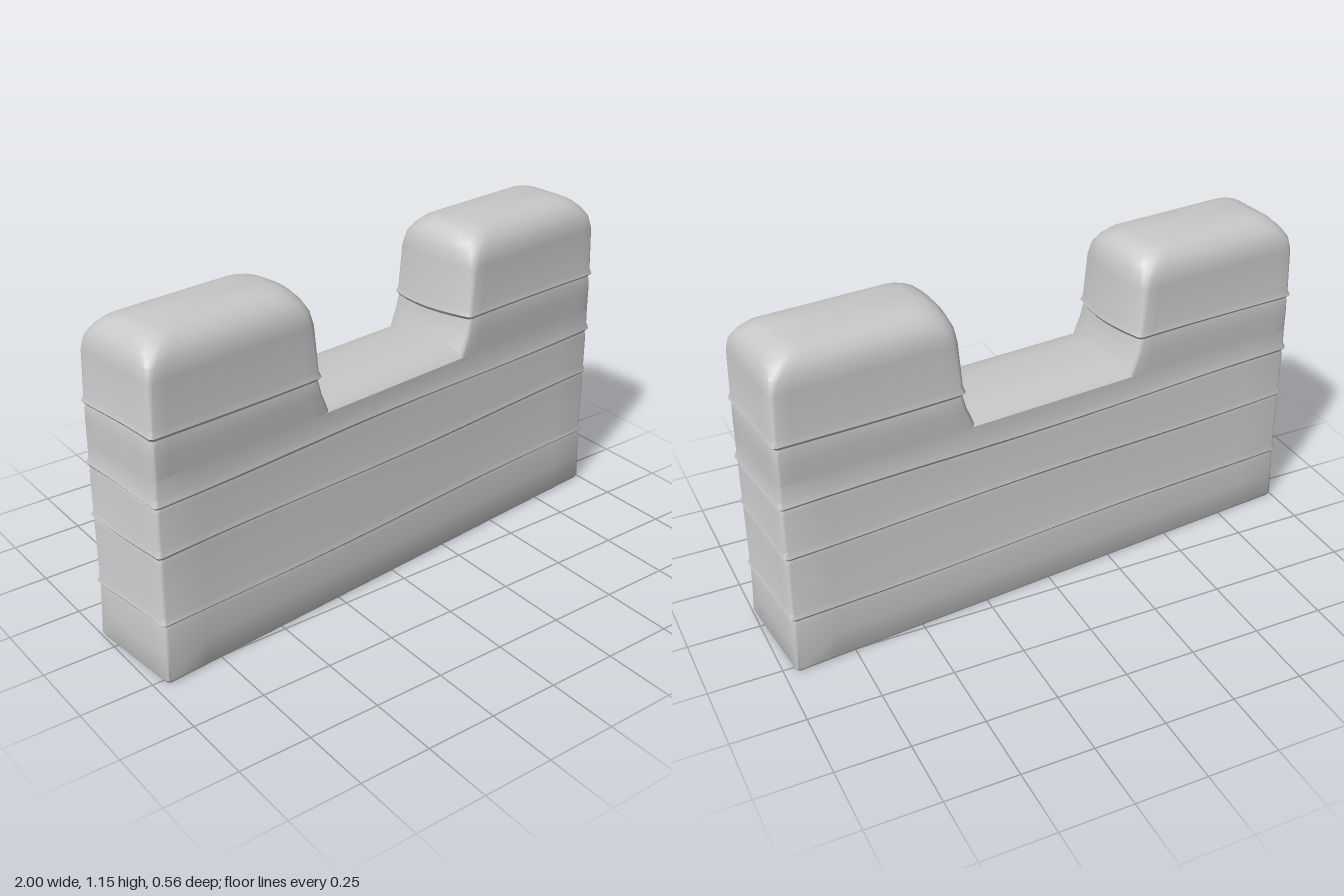
import * as THREE from 'three';
import { toCreasedNormals } from 'three/addons/utils/BufferGeometryUtils.js';

const HALF_LENGTH = 0.985;
const HALF_DEPTH = 0.187;

// Rounded rectangle in plan, running along the front, right end, back and left end.
function ring(x0, x1, d, r, bow) {
  const pts = [];
  const corners = [[x1 - r, d - r, 0], [x1 - r, r - d, 1], [x0 + r, r - d, 2], [x0 + r, d - r, 3]];
  corners.forEach(([cx, cz, quarter], k) => {
    for (let i = 0; i <= 3; i++) {
      const a = Math.PI / 2 * (1 - quarter - i / 3);
      pts.push([cx + r * Math.cos(a), cz + r * Math.sin(a)]);
    }
    const [nx, nz, nq] = corners[(k + 1) % 4];
    const a = Math.PI / 2 * (1 - nq);
    const end = [nx + r * Math.cos(a), nz + r * Math.sin(a)];
    const start = pts[pts.length - 1];
    const n = k % 2 ? 14 : 6; // long sides get more divisions
    for (let i = 1; i < n; i++) {
      pts.push([start[0] + (end[0] - start[0]) * i / n, start[1] + (end[1] - start[1]) * i / n]);
    }
  });
  return pts.map(([x, z]) => [x + bow * (z / d) ** 2 * (x1 - x) / (x1 - x0), z]);
}

// Stacks plan rings into a closed solid; level = { y, x0, x1, d, r, wave }
function loft(levels, bow, crown) {
  const pos = [], idx = [];
  let n = 0;
  for (const l of levels) {
    const pts = ring(l.x0, l.x1, l.d, l.r, bow);
    n = pts.length;
    for (const [x, z] of pts) {
      pos.push(x, l.y + (l.wave || 0) * Math.sin(x * 4 + z * 9 + l.y * 20), z);
    }
  }
  const last = (levels.length - 1) * n;
  const bottom = pos.length / 3, top = bottom + 1;
  const first = levels[0], end = levels[levels.length - 1];
  pos.push((first.x0 + first.x1) / 2, first.y, 0, (end.x0 + end.x1) / 2, end.y + crown, 0);
  for (let i = 0; i < n; i++) {
    const j = (i + 1) % n;
    for (let k = 0; k < last; k += n) {
      idx.push(k + i, k + j, k + n + j, k + i, k + n + j, k + n + i);
    }
    idx.push(bottom, j, i, top, last + i, last + j);
  }
  const g = new THREE.BufferGeometry();
  g.setAttribute('position', new THREE.Float32BufferAttribute(pos, 3));
  g.setIndex(idx);
  return toCreasedNormals(g, 0.6);
}

// Raised course line: small groove, then a soft lip.
const course = (y) => [[y - 0.022, 0.005], [y - 0.008, 0.008], [y + 0.004, -0.001], [y + 0.024, 0.005]];

export function createModel() {
  const stone = new THREE.MeshStandardMaterial({ color: 0xc8c8c8 });
  stone.name = 'pale grey stone';
  const group = new THREE.Group();
  group.name = 'battlementWall';
  const add = (name, geometry, parent = group) => {
    const mesh = new THREE.Mesh(geometry, stone);
    mesh.name = name;
    parent.add(mesh);
    return mesh;
  };

  // Lower wall with three course lines
  const bodyProfile = [
    [0, 0.006], [0.012, 0], [0.1, 0.003], ...course(0.21), ...course(0.455), ...course(0.635), [0.72, 0.006],
  ];
  add('lowerWall', loft(bodyProfile.map(([y, inset]) => ({
    y,
    x0: inset - HALF_LENGTH, x1: HALF_LENGTH - inset,
    d: HALF_DEPTH - inset, r: 0.014,
    wave: y > 0.15 && y < 0.7 ? 0.005 : 0,
  })), 0, 0));

  // Gently arched floor of the gap
  const arch = new THREE.Shape();
  const w = HALF_DEPTH - 0.006;
  arch.moveTo(-w, 0.70);
  arch.lineTo(w, 0.70);
  arch.lineTo(w, 0.72);
  arch.bezierCurveTo(w - 0.03, 0.748, 0.09, 0.762, 0, 0.762);
  arch.bezierCurveTo(-0.09, 0.762, 0.03 - w, 0.748, -w, 0.72);
  const floor = new THREE.ExtrudeGeometry(arch, { depth: 0.72, bevelEnabled: false, curveSegments: 8 });
  floor.translate(0, 0, -0.36).rotateY(Math.PI / 2);
  add('gapFloor', toCreasedNormals(floor, 0.6));

  // Two upright blocks: [y, inset, inner face x, corner radius]
  const merlonProfile = [
    [0.72, 0.006, 0.275, 0.014], [0.755, 0.006, 0.288, 0.014], [0.79, 0.006, 0.303, 0.014],
    ...course(0.855).map(([y, inset]) => [y, inset + 0.002, 0.308 + inset, 0.014]),
    [1.03, 0.009, 0.325, 0.02], [1.075, 0.015, 0.332, 0.03], [1.105, 0.03, 0.345, 0.045],
    [1.13, 0.052, 0.365, 0.055], [1.145, 0.08, 0.392, 0.055], [1.151, 0.11, 0.425, 0.05],
  ];
  const merlon = loft(merlonProfile.map(([y, inset, x0, r]) => ({
    y, x0, x1: HALF_LENGTH - inset,
    d: HALF_DEPTH - inset, r,
    wave: y > 0.8 && y < 0.9 ? 0.005 : 0,
  })), 0.025, 0.004);
  add('leftMerlon', merlon);
  add('rightMerlon', merlon).rotation.y = Math.PI;

  // The wall stands slightly turned
  const model = new THREE.Group();
  model.name = 'wallSection';
  group.rotation.y = 0.097;
  model.add(group);
  return model;
}
